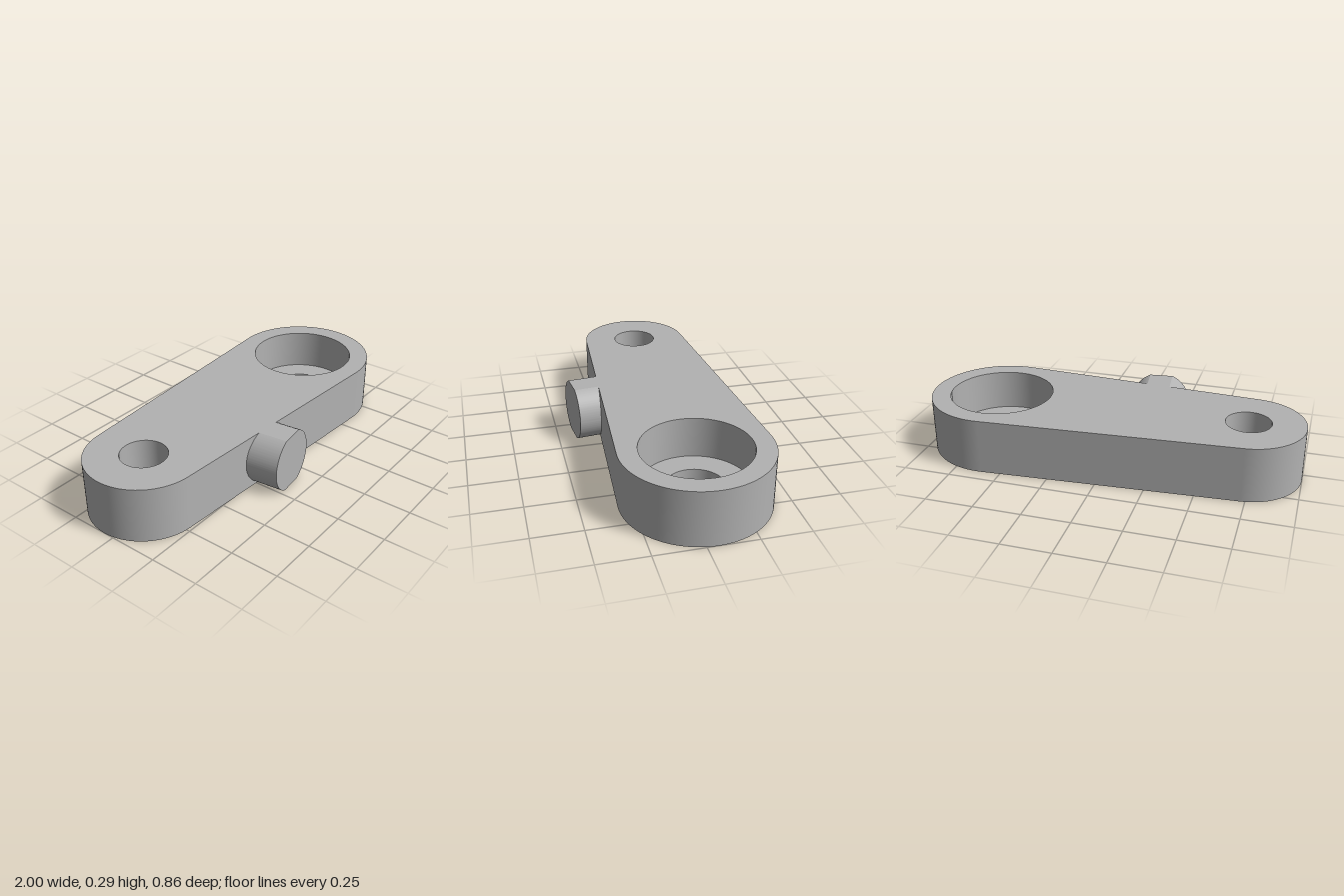
import * as THREE from 'three';
import { mergeVertices, toCreasedNormals } from 'three/addons/utils/BufferGeometryUtils.js';

const H = 0.29;          // plate height
const FLOOR = 0.074;     // height of the counterbore floor
const CY = 0.055;        // both eyes lie on this line (local y = -z)
const small = { x: -0.71, r: 0.29, hole: 0.117 };
const big = { x: 0.625, r: 0.375, hole: 0.148, bore: 0.275 };

// Points of an arc, counter-clockwise
function arc(x, r, a0, a1, n, closed = false) {
  const pts = [];
  for (let i = 0; i < (closed ? n : n + 1); i++) {
    const a = a0 + (a1 - a0) * i / n;
    pts.push(new THREE.Vector2(x + r * Math.cos(a), CY + r * Math.sin(a)));
  }
  return pts;
}
const circle = (x, r) => arc(x, r, 0, Math.PI * 2, 72, true);

// Smooth closed wall along a loop; counter-clockwise loops face outwards
function wall(loop, z0, z1) {
  const n = loop.length;
  const geo = new THREE.PlaneGeometry(1, 1, n, 1);
  const pos = geo.attributes.position;
  for (let i = 0; i <= n; i++) {
    const p = loop[i % n];
    pos.setXYZ(i, p.x, p.y, z1);
    pos.setXYZ(n + 1 + i, p.x, p.y, z0);
  }
  geo.deleteAttribute('uv');
  geo.deleteAttribute('normal');
  const merged = mergeVertices(geo);
  merged.computeVertexNormals();
  return merged;
}

// Flat face with round holes
function face(outline, holes, z, down = false) {
  const shape = new THREE.Shape(outline);
  shape.holes = holes.map((h) => new THREE.Path(h));
  const geo = new THREE.ShapeGeometry(shape);
  if (down) {
    const idx = geo.index.array;
    for (let i = 0; i < idx.length; i += 3) [idx[i], idx[i + 1]] = [idx[i + 1], idx[i]];
    geo.computeVertexNormals();
  }
  return geo.translate(0, 0, z);
}

export function createModel() {
  const model = new THREE.Group();
  model.name = 'linkArm';
  const metal = new THREE.MeshStandardMaterial({ color: 0xb2b2b2 });
  metal.name = 'grey metal';

  const add = (parent, name, geo) => {
    const mesh = new THREE.Mesh(geo, metal);
    mesh.name = name;
    parent.add(mesh);
    return mesh;
  };

  // Tapered plate: two round ends joined by their common tangents
  const plate = new THREE.Group();
  plate.name = 'plate';
  plate.rotation.x = -Math.PI / 2;
  model.add(plate);
  const t = Math.acos((small.r - big.r) / (big.x - small.x));
  const outline = [
    ...arc(big.x, big.r, -t, t, 48),
    ...arc(small.x, small.r, t, Math.PI * 2 - t, 48),
  ];
  const pinHole = circle(small.x, small.hole);
  const shaftHole = circle(big.x, big.hole);
  const bore = circle(big.x, big.bore);

  add(plate, 'plateSide', wall(outline, 0, H));
  add(plate, 'plateTop', face(outline, [pinHole, bore], H));
  add(plate, 'plateBottom', face(outline, [pinHole, shaftHole], 0, true));

  // Through holes and the counterbore
  const inward = (loop) => [...loop].reverse();
  add(plate, 'pinHoleWall', wall(inward(pinHole), 0, H));
  add(plate, 'shaftHoleWall', wall(inward(shaftHole), 0, FLOOR));
  add(plate, 'counterboreWall', wall(inward(bore), FLOOR, H));
  add(plate, 'counterboreFloor', face(bore, [shaftHole], FLOOR));

  // Side boss: slightly turned stub, flattened flush with the plate
  const r = 0.158, depth = 0.18, turn = 0.11;
  const flat = Math.asin(H / 2 / r);
  const section = new THREE.Shape();
  section.absarc(0, 0, r, -flat, flat, false);
  section.absarc(0, 0, r, Math.PI - flat, Math.PI + flat, false);
  section.closePath();
  const bossGeo = new THREE.ExtrudeGeometry(section, { depth, bevelEnabled: false, curveSegments: 32 });
  bossGeo.translate(0, 0, -depth);
  const boss = add(model, 'sideBoss', toCreasedNormals(bossGeo, 0.3));
  boss.position.set(-0.152, H / 2, 0.411);
  boss.rotation.y = turn;

  return model;
}
